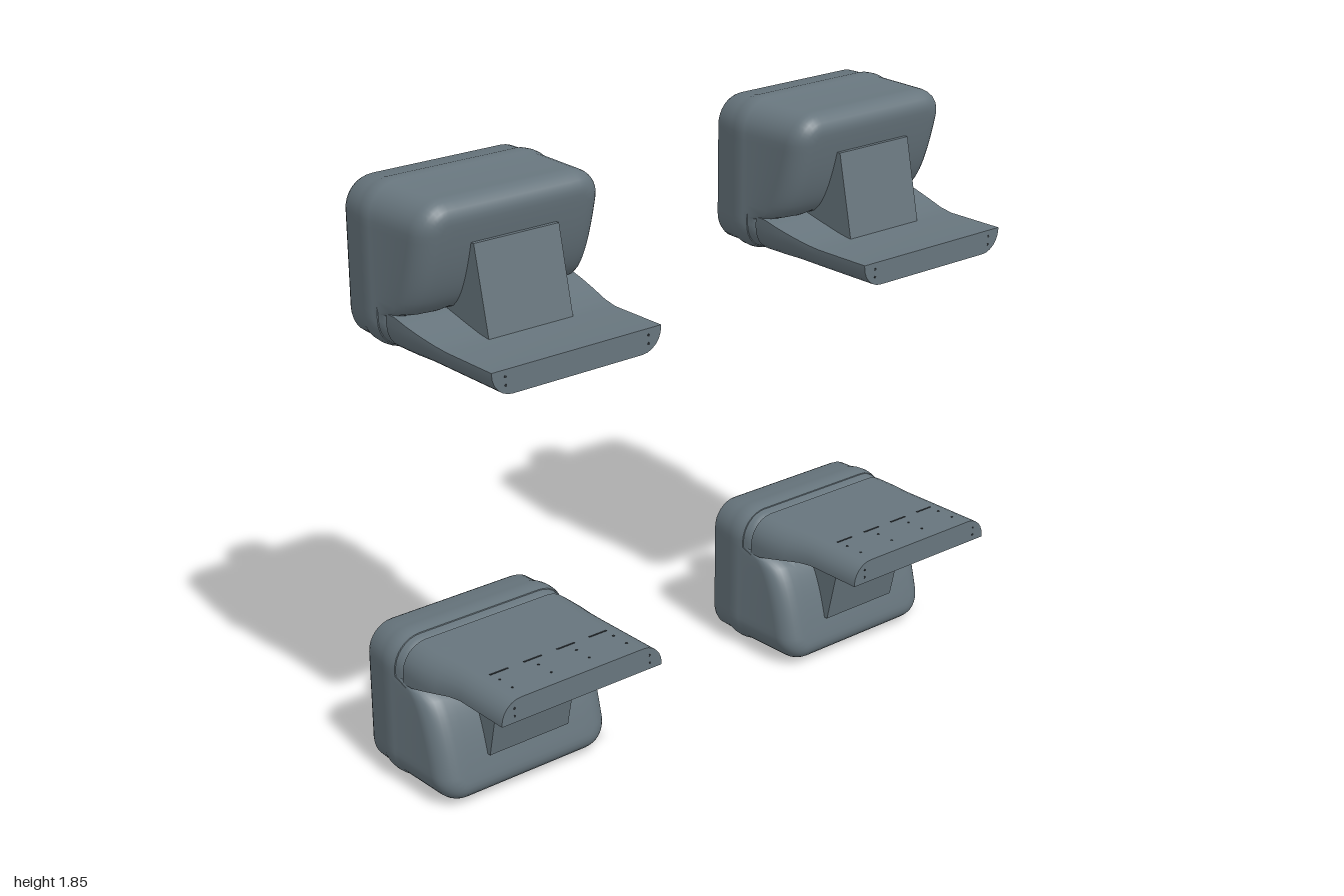
import * as THREE from 'three';
import { toCreasedNormals } from 'three/addons/utils/BufferGeometryUtils.js';

const material = new THREE.MeshStandardMaterial({ color: 0x67757d });
const darkMaterial = new THREE.MeshStandardMaterial({ color: 0x2b3135 });
const MID = 0.2425; // mid-height of one unit

function mesh(name, geometry, parent, mat = material) {
  const m = new THREE.Mesh(geometry, mat);
  m.name = name;
  parent.add(m);
  return m;
}

// Skin a list of equal-length closed rings, ordered from back to front
function loft(rings, crease) {
  const n = rings[0].length;
  const index = [];
  for (let i = 0; i < rings.length - 1; i++) {
    for (let j = 0; j < n; j++) {
      const k = (j + 1) % n;
      const a = i * n + j, b = i * n + k, c = a + n, d = b + n;
      index.push(a, b, d, a, d, c);
    }
  }
  const g = new THREE.BufferGeometry();
  g.setAttribute('position', new THREE.Float32BufferAttribute(rings.flat(2), 3));
  g.setIndex(index);
  return toCreasedNormals(g, crease);
}

// Counter-clockwise rounded rectangle, with subdivided straight sides
function roundedRect(hw, hh, r) {
  const pts = [];
  const arc = 8, side = 14;
  const corners = [[1, 1], [-1, 1], [-1, -1], [1, -1]];
  corners.forEach(([sx, sy], q) => {
    const cx = sx * (hw - r), cy = sy * (hh - r);
    for (let i = 0; i <= arc; i++) {
      const a = (q + i / arc) * Math.PI / 2;
      pts.push([cx + r * Math.cos(a), cy + r * Math.sin(a)]);
    }
    const [nx, ny] = corners[(q + 1) % 4];
    const a = (q + 1) * Math.PI / 2;
    const [x0, y0] = pts[pts.length - 1];
    const x1 = nx * (hw - r) + r * Math.cos(a), y1 = ny * (hh - r) + r * Math.sin(a);
    for (let i = 1; i < side; i++) pts.push([x0 + (x1 - x0) * i / side, y0 + (y1 - y0) * i / side]);
  });
  return pts;
}

// Convex front face: depth grows quickly above the base, then levels off
const frontDepth = (y) => 0.175 * Math.pow(THREE.MathUtils.clamp((y - 0.125) / 0.32, 0, 1), 0.36);

function bodyGeometry() {
  const ring = (inset, scale, zOf) =>
    roundedRect(0.31 - inset, 0.2325 - inset, 0.09 - inset).map(([x, y]) => {
      const yy = MID + y * scale;
      return [x * scale, yy, zOf(yy)];
    });
  const rings = [ring(0.018, 0, () => -0.218)];
  // Back edge and the slight swell around the sides
  const sides = [[-0.218, 0.018], [-0.212, 0.006], [-0.2, 0], [-0.15, -0.001], [-0.125, -0.007],
    [-0.1, -0.009], [-0.08, -0.007], [-0.066, -0.003]];
  for (const [z, inset] of sides) rings.push(ring(inset, 1, () => z));
  // Front fillet
  const r = 0.065;
  for (let i = 0; i <= 7; i++) {
    const a = i / 7 * Math.PI / 2;
    rings.push(ring(r * (1 - Math.cos(a)), 1, (y) => frontDepth(y) - r * (1 - Math.sin(a))));
  }
  // Front face
  for (let i = 7; i >= 0; i--) rings.push(ring(r, i / 8, frontDepth));
  return loft(rings, 0.6);
}

// Mounting flange that blends upward into the body
function flangeGeometry() {
  const bottom = 0.012;
  const section = (z, hw, top, scale = 1) => {
    const r = Math.min(0.085, top - bottom - 0.005);
    const pts = [[hw, top], [-hw, top]];
    for (let q = 2; q < 4; q++) {
      for (let i = 0; i <= 6; i++) {
        const a = (q + i / 6) * Math.PI / 2;
        pts.push([(q === 2 ? -1 : 1) * (hw - r) + r * Math.cos(a), bottom + r + r * Math.sin(a)]);
      }
    }
    return pts.map(([x, y]) => [x * scale, 0.05 + (y - 0.05) * scale, z]);
  };
  return loft([
    section(-0.03, 0.308, 0.13, 0), section(-0.03, 0.308, 0.13), section(0.01, 0.308, 0.13),
    section(0.06, 0.307, 0.118), section(0.12, 0.302, 0.104), section(0.18, 0.294, 0.091),
    section(0.23, 0.29, 0.085), section(0.43, 0.29, 0.085), section(0.43, 0.29, 0.085, 0),
  ], 0.5);
}

// Central brace with a sloping front
function braceGeometry() {
  const s = new THREE.Shape([[0, 0.07], [0.225, 0.07], [0.222, 0.085], [0.165, 0.345], [0, 0.345]]
    .map(([z, y]) => new THREE.Vector2(-z, y)));
  const g = new THREE.ExtrudeGeometry(s, { depth: 0.29, bevelEnabled: false });
  return g.translate(0, 0, -0.145).rotateY(Math.PI / 2);
}

// Lathe of [radius, distance behind the origin], pointing towards -z
function turned(profile, segments) {
  const g = new THREE.LatheGeometry(profile.map(([r, d]) => new THREE.Vector2(r, d)), segments);
  return toCreasedNormals(g.rotateX(-Math.PI / 2), 0.5);
}

function buildConnector() {
  const group = new THREE.Group();
  group.name = 'cableConnector';
  mesh('connectorCollar', turned([[0, 0.2], [0.115, 0.2], [0.115, 0.243], [0, 0.243]], 40), group);
  // Hexagonal nut with chamfered ends, corners to the sides
  const nut = turned([[0, 0.238], [0.124, 0.238], [0.136, 0.247], [0.136, 0.304], [0.124, 0.313], [0, 0.313]], 6);
  nut.rotateZ(Math.PI / 2);
  mesh('hexNut', nut, group);
  mesh('nutFlange', turned([[0, 0.31], [0.114, 0.31], [0.114, 0.328], [0.106, 0.336], [0, 0.336]], 40), group);
  mesh('connectorNeck', turned([[0, 0.33], [0.092, 0.33], [0.092, 0.346], [0.072, 0.348], [0.072, 0.365], [0, 0.365]], 40), group);
  // Threaded end with ridges
  const thread = [[0, 0.355], [0.076, 0.355]];
  for (let i = 0; i < 5; i++) {
    const d = 0.358 + i * 0.012;
    thread.push([0.086, d + 0.002], [0.086, d + 0.007], [0.079, d + 0.009], [0.079, d + 0.011]);
  }
  thread.push([0.086, 0.42], [0.08, 0.43], [0, 0.43]);
  mesh('threadedEnd', turned(thread, 40), group);
  group.position.y = 0.245;
  return group;
}

function buildUnit() {
  const unit = new THREE.Group();
  mesh('housing', bodyGeometry(), unit);
  mesh('mountingFlange', flangeGeometry(), unit);
  mesh('centralBrace', braceGeometry(), unit);
  unit.add(buildConnector());
  // Narrow slots and pin holes on the outer face of the flange
  for (const x of [-0.18, -0.06, 0.06, 0.18]) {
    const slot = mesh('flangeSlot', new THREE.BoxGeometry(0.065, 0.002, 0.006), unit, darkMaterial);
    slot.position.set(x, 0.0115, 0.27);
    for (const z of [0.31, 0.37]) {
      const pin = mesh('pinHole', new THREE.CylinderGeometry(0.004, 0.004, 0.002, 10), unit, darkMaterial);
      pin.position.set(x * 1.15, 0.0115, z);
    }
  }
  // Pin holes on the front edge of the flange
  for (const x of [-0.245, 0.245]) {
    for (const y of [0.04, 0.065]) {
      const pin = mesh('edgePinHole', new THREE.CylinderGeometry(0.004, 0.004, 0.002, 10).rotateX(Math.PI / 2), unit, darkMaterial);
      pin.position.set(x, y, 0.43);
    }
  }
  return unit;
}

export function createModel() {
  const model = new THREE.Group();
  model.name = 'mountedUnits';
  const unit = buildUnit();
  for (const [side, x] of [['right', -0.683], ['left', 0.683]]) {
    const upper = unit.clone();
    upper.name = side + 'UpperUnit';
    upper.position.set(x, 1.37, 0);
    // Lower units hang upside down
    const lower = unit.clone();
    lower.name = side + 'LowerUnit';
    lower.rotation.z = Math.PI;
    lower.position.set(x, 0.485, 0);
    model.add(upper, lower);
  }
  return model;
}
